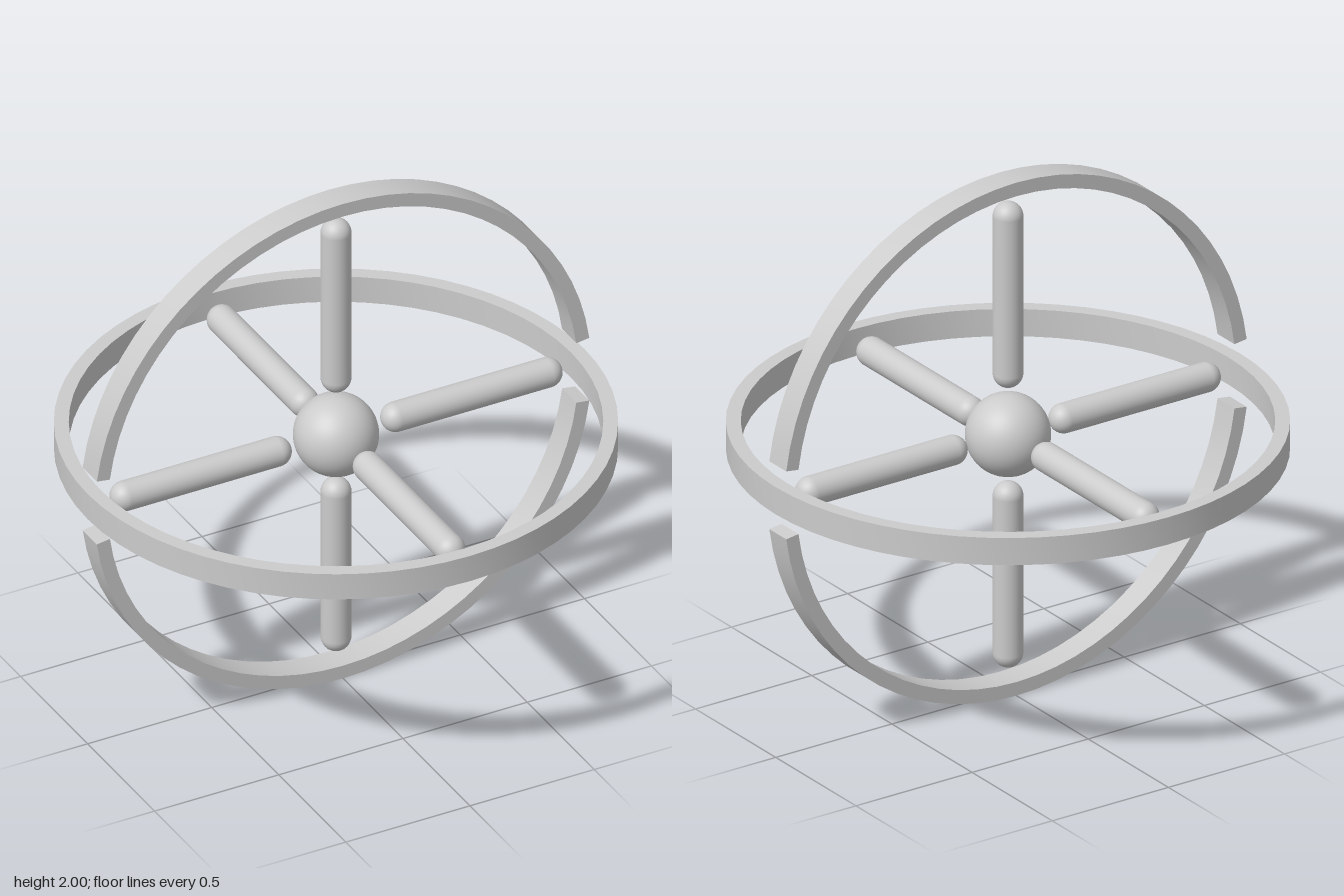
import * as THREE from 'three';
import { toCreasedNormals } from 'three/addons/utils/BufferGeometryUtils.js';

const OUTER = 1, INNER = 0.947, WIDTH = 0.106;
const GAP = THREE.MathUtils.degToRad(7.6);

// Extrudes a flat band outline, centred on its own plane
function bandGeometry(shape, curveSegments) {
  const geometry = new THREE.ExtrudeGeometry(shape, { depth: WIDTH, bevelEnabled: false, curveSegments });
  geometry.translate(0, 0, -WIDTH / 2);
  return toCreasedNormals(geometry, 0.5);
}

export function createModel() {
  const model = new THREE.Group();
  const material = new THREE.MeshStandardMaterial({ color: 0xcccccc });
  const centre = new THREE.Group();
  centre.name = 'gyroscope';
  centre.position.y = 1;
  model.add(centre);

  const add = (name, geometry) => {
    const mesh = new THREE.Mesh(geometry, material);
    mesh.name = name;
    centre.add(mesh);
    return mesh;
  };

  // Central ball
  add('centreBall', new THREE.SphereGeometry(0.153, 48, 32));

  // Complete horizontal ring
  const circle = new THREE.Shape().absarc(0, 0, OUTER, 0, Math.PI * 2, false);
  circle.holes.push(new THREE.Path().absarc(0, 0, INNER, 0, Math.PI * 2, true));
  add('horizontalRing', bandGeometry(circle, 32)).rotation.x = Math.PI / 2;

  // Two vertical half rings, stopping short of the horizontal ring
  const arc = new THREE.Shape();
  arc.absarc(0, 0, OUTER, GAP, Math.PI - GAP, false);
  arc.absarc(0, 0, INNER, Math.PI - GAP, GAP, true);
  arc.closePath();
  const arcGeometry = bandGeometry(arc, 16);
  add('upperArc', arcGeometry);
  add('lowerArc', arcGeometry).rotation.z = Math.PI;

  // Six round-ended rods pointing along the axes
  const radius = 0.055, start = 0.185, end = 0.905;
  const rodGeometry = new THREE.CapsuleGeometry(radius, end - start - 2 * radius, 10, 32);
  const up = new THREE.Vector3(0, 1, 0);
  const directions = {
    upperRod: [0, 1, 0], lowerRod: [0, -1, 0],
    leftRod: [1, 0, 0], rightRod: [-1, 0, 0],
    frontRod: [0, 0, 1], backRod: [0, 0, -1],
  };
  for (const [name, d] of Object.entries(directions)) {
    const direction = new THREE.Vector3(...d);
    const rod = add(name, rodGeometry);
    rod.quaternion.setFromUnitVectors(up, direction);
    rod.position.copy(direction).multiplyScalar((start + end) / 2);
  }

  return model;
}
